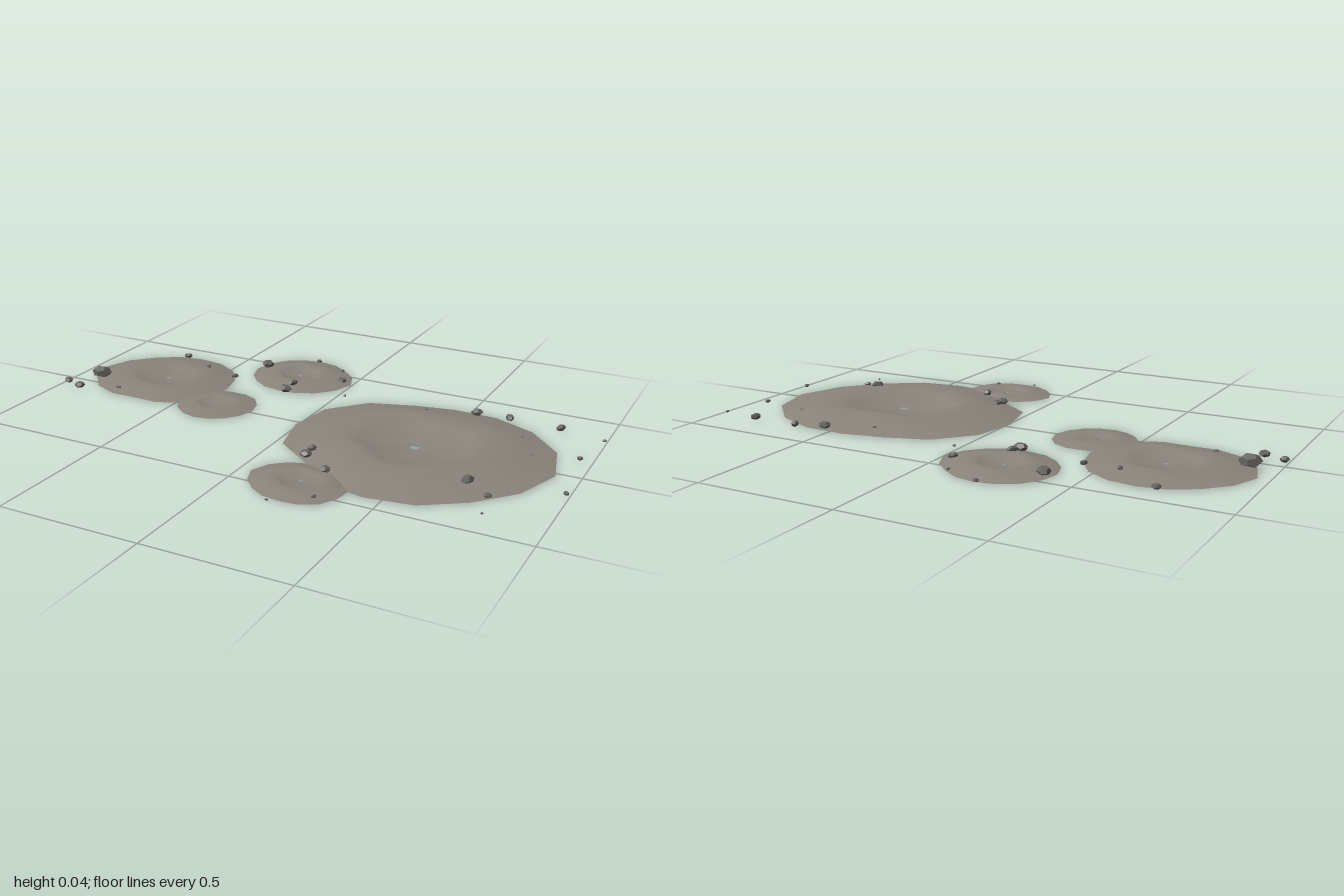
import * as THREE from 'three';

const soil = new THREE.MeshStandardMaterial({ color: 0x8a847b, side: THREE.DoubleSide });
soil.name = 'dustySoil';
const stone = new THREE.MeshStandardMaterial({ color: 0x676560 });
stone.name = 'darkStone';

// Edge radii at equal steps from +x towards +z; the crest is a fraction of the edge
const CRATERS = [
  { name: 'largeCrater', x: 0.44, z: 0.025, h: 0.042, crest: 0.56,
    edge: [0.48, 0.455, 0.43, 0.43, 0.42, 0.42, 0.385, 0.444, 0.45, 0.455, 0.43, 0.385, 0.385, 0.41, 0.44, 0.47] },
  { name: 'mediumCrater', x: -0.665, z: -0.157, h: 0.026, crest: 0.54,
    edge: [0.262, 0.275, 0.23, 0.27, 0.295, 0.255, 0.25, 0.26] },
  { name: 'backCrater', x: -0.222, z: -0.414, h: 0.023, crest: 0.51,
    edge: [0.22, 0.195, 0.175, 0.175, 0.19, 0.19, 0.187, 0.187] },
  { name: 'smallCrater', x: -0.366, z: -0.01, h: 0.015, crest: 0.52,
    edge: [0.16, 0.15, 0.144, 0.135, 0.136, 0.14, 0.134, 0.155] },
  { name: 'frontCrater', x: 0.222, z: 0.43, h: 0.018, crest: 0.55,
    edge: [0.165, 0.172, 0.155, 0.16, 0.18, 0.15, 0.12, 0.145] },
];

// Rocks: x, z, radius
const ROCKS = [
  [-0.905, -0.055, 0.04], [-0.985, 0.05, 0.018], [-0.912, 0.077, 0.02],
  [-0.728, -0.4, 0.017], [-0.573, -0.307, 0.015], [-0.44, -0.285, 0.015],
  [-0.766, 0.03, 0.01], [-0.38, -0.445, 0.026], [-0.045, -0.425, 0.018],
  [-0.228, -0.595, 0.011], [-0.095, -0.537, 0.008], [-0.19, -0.297, 0.02],
  [-0.194, -0.243, 0.025], [0.025, -0.302, 0.007], [0.361, -0.28, 0.008],
  [0.53, -0.34, 0.022], [0.645, -0.36, 0.019], [0.832, -0.35, 0.02],
  [0.99, -0.323, 0.008], [0.74, -0.2, 0.011], [0.955, -0.137, 0.011],
  [0.815, -0.067, 0.011], [0.986, 0.14, 0.011], [0.697, 0.222, 0.026],
  [0.778, 0.27, 0.015], [0.8, 0.382, 0.006], [0.152, 0.217, 0.018],
  [0.152, 0.26, 0.021], [0.265, 0.345, 0.02], [0.313, 0.522, 0.011],
  [0.19, 0.595, 0.006],
];

const SIDES = 16;

// Edge radius at one of the sides, blended between the given radii
function edgeRadius(edge, i) {
  const t = (i * edge.length) / SIDES, k = Math.floor(t);
  return THREE.MathUtils.lerp(edge[k], edge[(k + 1) % edge.length], t - k);
}

// Open shell made of rings: centre hole, bowl, raised crest, outer slope
function craterGeometry({ h, crest, edge }) {
  const pos = [], index = [];
  const rings = [
    (e) => [edge[0] * 0.034, 0.004],
    (e, c) => [c * 0.4, 0.004 + h * 0.12],
    (e, c) => [c * 0.75, h * 0.5],
    (e, c, top) => [c, top],
    (e, c, top) => [(c + e) / 2, top * 0.52],
    (e) => [e, 0.002],
  ];
  rings.forEach((ring, k) => {
    for (let i = 0; i < SIDES; i++) {
      const a = (i / SIDES) * Math.PI * 2;
      const e = edgeRadius(edge, i);
      const c = e * crest * (1 + 0.05 * Math.sin(i * 1.9));
      const [r, y] = ring(e, c, h * (0.92 + 0.08 * Math.sin(i * 2.3)));
      pos.push(Math.cos(a) * r, y, Math.sin(a) * r);
      if (k > 0) {
        const j = (i + 1) % SIDES, p = (k - 1) * SIDES, q = k * SIDES;
        index.push(p + i, p + j, q + i, q + i, p + j, q + j);
      }
    }
  });
  const g = new THREE.BufferGeometry();
  g.setAttribute('position', new THREE.Float32BufferAttribute(pos, 3));
  g.setIndex(index);
  g.computeVertexNormals();
  return g;
}

// Rocks lying on a crater's slope sit higher towards its crest
function slopeLift(x, z) {
  return Math.max(0, ...CRATERS.map((c) => {
    const mean = c.edge.reduce((a, b) => a + b) / c.edge.length;
    return c.h * (1 - Math.hypot(x - c.x, z - c.z) / mean);
  }));
}

export function createModel() {
  const model = new THREE.Group();
  model.name = 'craterField';

  for (const c of CRATERS) {
    const mesh = new THREE.Mesh(craterGeometry(c), soil);
    mesh.name = c.name;
    mesh.position.set(c.x, 0, c.z);
    model.add(mesh);
  }

  // Scattered faceted rocks, each squashed and turned differently
  const rocks = new THREE.Group();
  rocks.name = 'scatteredRocks';
  ROCKS.forEach(([x, z, r], i) => {
    const g = new THREE.DodecahedronGeometry(r, 0);
    g.rotateX(i * 1.3);
    g.rotateZ(i * 0.7);
    g.scale(1, 0.6, 0.8 + 0.15 * Math.sin(i));
    g.rotateY(i * 2.1);
    g.computeBoundingBox();
    const rock = new THREE.Mesh(g, stone);
    rock.name = 'rock';
    rock.position.set(x, slopeLift(x, z) - g.boundingBox.min.y, z);
    rocks.add(rock);
  });
  model.add(rocks);
  return model;
}
